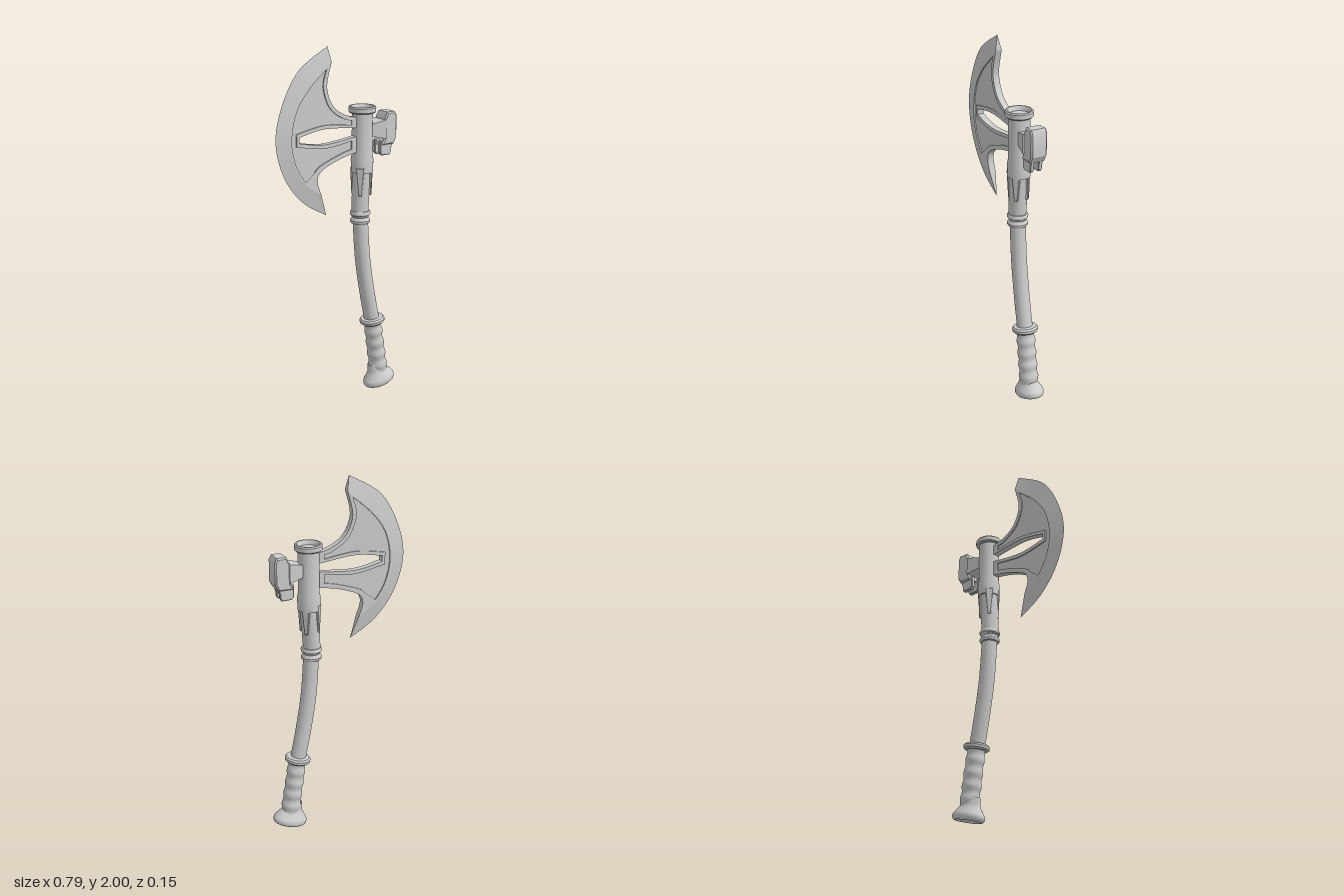
import * as THREE from 'three';
import { toCreasedNormals } from 'three/addons/utils/BufferGeometryUtils.js';

const mat = new THREE.MeshStandardMaterial({ color: 0xcccccc });
const solid = new THREE.MeshStandardMaterial({ color: 0xcccccc, side: THREE.DoubleSide });
const v2 = (p) => p.map(([x, y]) => new THREE.Vector2(x, y));
const spline = (p, n) => new THREE.SplineCurve(v2(p)).getPoints(n);

function add(parent, name, geo, x = 0, y = 0, z = 0, m = mat) {
  const mesh = new THREE.Mesh(geo, m);
  mesh.name = name;
  mesh.position.set(x, y, z);
  parent.add(mesh);
  return mesh;
}

// Lathe with crisp edges
const lathe = (p, seg = 32) => toCreasedNormals(new THREE.LatheGeometry(v2(p), seg), 0.6);

// Flat plate centred on z, with an optional bevel kept inside the outline
function plate(shape, half, bevel = 0) {
  const g = new THREE.ExtrudeGeometry(shape, {
    depth: 2 * (half - bevel), bevelEnabled: bevel > 0, bevelThickness: bevel,
    bevelSize: bevel, bevelOffset: -bevel, bevelSegments: 1, curveSegments: 8,
  });
  g.translate(0, 0, -(half - bevel));
  return toCreasedNormals(g, 0.5);
}

function buildBlade() {
  const blade = new THREE.Group();
  blade.name = 'blade';
  const N = 48, half = 0.018;
  const inner = spline([[-0.055, 1.92], [-0.205, 1.795], [-0.29, 1.67], [-0.32, 1.525],
    [-0.295, 1.395], [-0.232, 1.29], [-0.125, 1.215]], N);
  const outer = spline([[-0.07, 2.0], [-0.255, 1.885], [-0.36, 1.71], [-0.4, 1.525],
    [-0.35, 1.335], [-0.235, 1.185], [-0.08, 1.09]], N);

  // Frame with a central slit and a window for the sunken panel
  const frame = new THREE.Shape([
    ...inner,
    ...spline([[-0.125, 1.215], [-0.148, 1.29], [-0.12, 1.345], [0, 1.393], [0.13, 1.42]], 20).slice(1),
    ...spline([[0.13, 1.605], [0.035, 1.63], [-0.045, 1.685], [-0.085, 1.79], [-0.055, 1.92]], 20).slice(0, -1),
  ]);
  const slit = [
    ...spline([[-0.262, 1.51], [-0.1, 1.484], [0.115, 1.505]], 12),
    ...spline([[0.115, 1.55], [-0.1, 1.568], [-0.262, 1.542]], 12),
  ];
  const panel = [
    ...spline([[-0.085, 1.885], [-0.2, 1.785], [-0.281, 1.67], [-0.31, 1.525],
      [-0.285, 1.395], [-0.225, 1.298], [-0.158, 1.235]], 40),
    ...spline([[-0.172, 1.3], [-0.145, 1.363], [0, 1.418], [0.08, 1.437]], 16),
    ...spline([[0.08, 1.483], [-0.1, 1.463], [-0.28, 1.492]], 12),
    ...spline([[-0.28, 1.56], [-0.1, 1.588], [0.08, 1.57]], 12),
    ...spline([[0.08, 1.595], [0.025, 1.61], [-0.065, 1.675], [-0.108, 1.79], [-0.085, 1.885]], 20).slice(0, -1),
  ];
  frame.holes.push(new THREE.Path(slit), new THREE.Path(panel));
  add(blade, 'bladeFrame', plate(frame, half));
  add(blade, 'bladePanel', plate(new THREE.Shape(panel), 0.011));

  // Cutting edge: a wedge from full thickness down to nothing
  const pos = [];
  const O = (i) => [outer[i].x, outer[i].y, 0];
  const I = (i, s) => [inner[i].x, inner[i].y, s * half];
  const tri = (a, b, c) => pos.push(...a, ...b, ...c);
  for (let i = 0; i < N; i++) {
    tri(O(i), O(i + 1), I(i + 1, 1));
    tri(O(i), I(i + 1, 1), I(i, 1));
    tri(O(i), I(i + 1, -1), O(i + 1));
    tri(O(i), I(i, -1), I(i + 1, -1));
  }
  tri(O(0), I(0, 1), I(0, -1));
  tri(O(N), I(N, -1), I(N, 1));
  const edge = new THREE.BufferGeometry();
  edge.setAttribute('position', new THREE.Float32BufferAttribute(pos, 3));
  add(blade, 'cuttingEdge', toCreasedNormals(edge, 0.5));
  return blade;
}

function buildHammer() {
  const hammer = new THREE.Group();
  hammer.name = 'hammer';
  // Neck flaring from the socket to the head
  const neck = new THREE.CylinderGeometry(0.075, 0.045, 0.09, 4, 1);
  neck.rotateY(Math.PI / 4).rotateZ(-Math.PI / 2);
  add(hammer, 'hammerNeck', toCreasedNormals(neck, 0.3), 0.245, 1.528);
  const head = new THREE.Shape(v2([[0.305, 1.62], [0.357, 1.62], [0.37, 1.595], [0.37, 1.475],
    [0.35, 1.44], [0.265, 1.44], [0.285, 1.475], [0.285, 1.58]]));
  add(hammer, 'hammerHead', plate(head, 0.047, 0.008));
  // Two claws with a notch between them
  const claw = new THREE.Shape(v2([[0.262, 1.46], [0.355, 1.46], [0.34, 1.415], [0.34, 1.395],
    [0.33, 1.38], [0.275, 1.38], [0.262, 1.395]].reverse()));
  for (const s of [1, -1]) add(hammer, 'hammerClaw', plate(claw, 0.012, 0.004), 0, 0, s * 0.024);
  return hammer;
}

function buildSocket() {
  const socket = new THREE.Group();
  socket.name = 'socket';
  socket.position.x = 0.163;
  add(socket, 'socketTube', lathe([[0, 1.3], [0.061, 1.3], [0.062, 1.37], [0.057, 1.4], [0.057, 1.64]]));
  // Cap ring with a shallow dish on top
  add(socket, 'socketCap', lathe([[0.05, 1.628], [0.07, 1.628], [0.075, 1.634], [0.075, 1.657],
    [0.07, 1.664], [0.062, 1.664], [0.056, 1.655], [0.053, 1.64], [0, 1.637]], 40));
  // Tapered prongs gripping the shaft
  const prong = new THREE.Shape(v2([[-0.01, -0.13], [0.01, -0.13], [0.024, 0.03], [-0.024, 0.03]]));
  for (let i = 0; i < 4; i++) {
    const pivot = new THREE.Group();
    pivot.rotation.y = Math.PI / 4 + i * Math.PI / 2;
    pivot.position.set(-0.003, 1.3, 0);
    socket.add(pivot);
    add(pivot, 'prong', plate(prong, 0.011, 0.004), 0, 0, 0.048).rotation.x = 0.03;
  }
  return socket;
}

function buildHandle() {
  const handle = new THREE.Group();
  handle.name = 'handle';
  const path = new THREE.CatmullRomCurve3([[0.15, 1.1], [0.155, 1.0], [0.171, 0.8], [0.203, 0.6],
    [0.24, 0.42], [0.25, 0.37]].map(([x, y]) => new THREE.Vector3(x, y, 0)));
  add(handle, 'shaft', new THREE.TubeGeometry(path, 40, 0.043, 24));
  add(handle, 'upperShaft', new THREE.CylinderGeometry(0.051, 0.047, 0.28, 24), 0.155, 1.19).rotation.z = -0.05;

  // Double collar below the socket
  add(handle, 'collar', lathe([[0.04, -0.037], [0.051, -0.035], [0.056, -0.027], [0.056, -0.018],
    [0.05, -0.01], [0.046, 0], [0.049, 0.008], [0.056, 0.014], [0.057, 0.026], [0.052, 0.035],
    [0.04, 0.037]]), 0.152, 1.046);

  // Ridged grip and its guard ring share one tilted axis
  const grip = new THREE.Group();
  grip.name = 'grip';
  grip.position.set(0.302, 0.035, 0);
  grip.rotation.z = 0.155;
  handle.add(grip);
  const ridges = [];
  for (let i = 0; i <= 48; i++) {
    const t = i / 48;
    ridges.push([0.052 - 0.003 * t + 0.0028 * Math.cos(t * Math.PI * 10), 0.03 + t * 0.355]);
  }
  add(grip, 'gripSleeve', new THREE.LatheGeometry(v2(ridges), 28));
  add(grip, 'guardRing', lathe([[0.04, 0.368], [0.062, 0.37], [0.071, 0.378], [0.072, 0.392],
    [0.064, 0.402], [0.04, 0.405]]));

  // Oval pommel, hollowed underneath
  const pommel = add(handle, 'pommel', new THREE.LatheGeometry(spline([[0, 0.022], [0.055, 0.017],
    [0.076, 0.001], [0.088, 0], [0.098, 0.012], [0.097, 0.032], [0.08, 0.055], [0.062, 0.08],
    [0.054, 0.11], [0.05, 0.13]], 36), 36), 0.3, 0.021, 0, solid);
  pommel.rotation.z = 0.23;
  pommel.scale.z = 0.75;
  return handle;
}

export function createModel() {
  const axe = new THREE.Group();
  axe.name = 'battleAxe';
  axe.add(buildBlade(), buildHammer(), buildSocket(), buildHandle());
  return axe;
}
